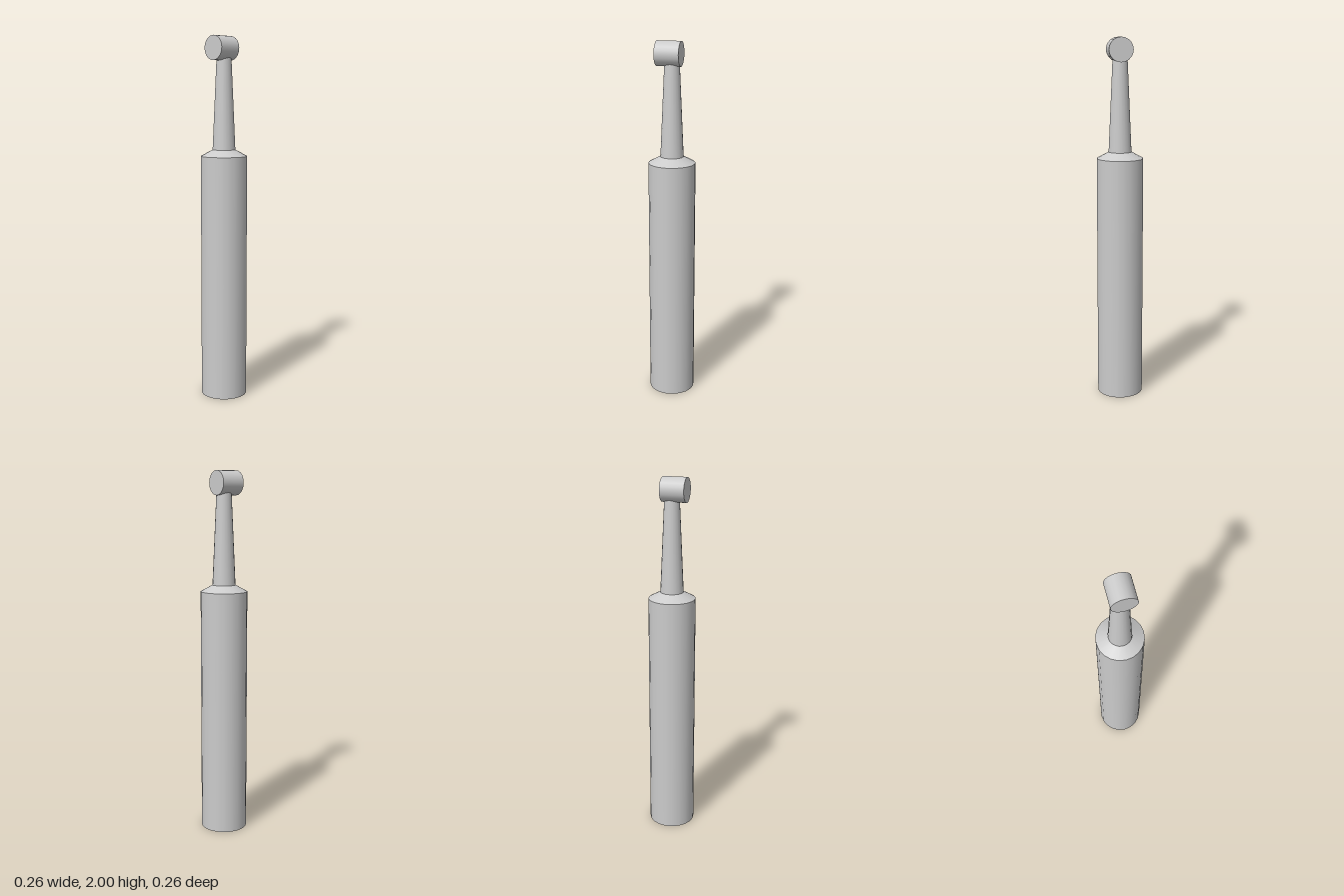
import * as THREE from 'three';

const SIDES = 20;

export function createModel() {
  const model = new THREE.Group();
  const material = new THREE.MeshStandardMaterial({ color: 0xcccccc });

  // Upright round section between two heights
  const addSection = (name, bottomRadius, topRadius, y0, y1) => {
    const geometry = new THREE.CylinderGeometry(topRadius, bottomRadius, y1 - y0, SIDES);
    const mesh = new THREE.Mesh(geometry, material);
    mesh.name = name;
    mesh.position.y = (y0 + y1) / 2;
    model.add(mesh);
    return mesh;
  };

  addSection('handle', 0.128, 0.128, 0, 1.353);
  addSection('shoulder', 0.128, 0.063, 1.353, 1.388);
  addSection('neck', 0.063, 0.04, 1.388, 1.9);

  // Round head lying front to back, set slightly forward
  const head = addSection('head', 0.066, 0.066, 0, 0.132);
  head.rotation.x = Math.PI / 2;
  head.position.set(0, 1.934, 0.016);

  return model;
}
